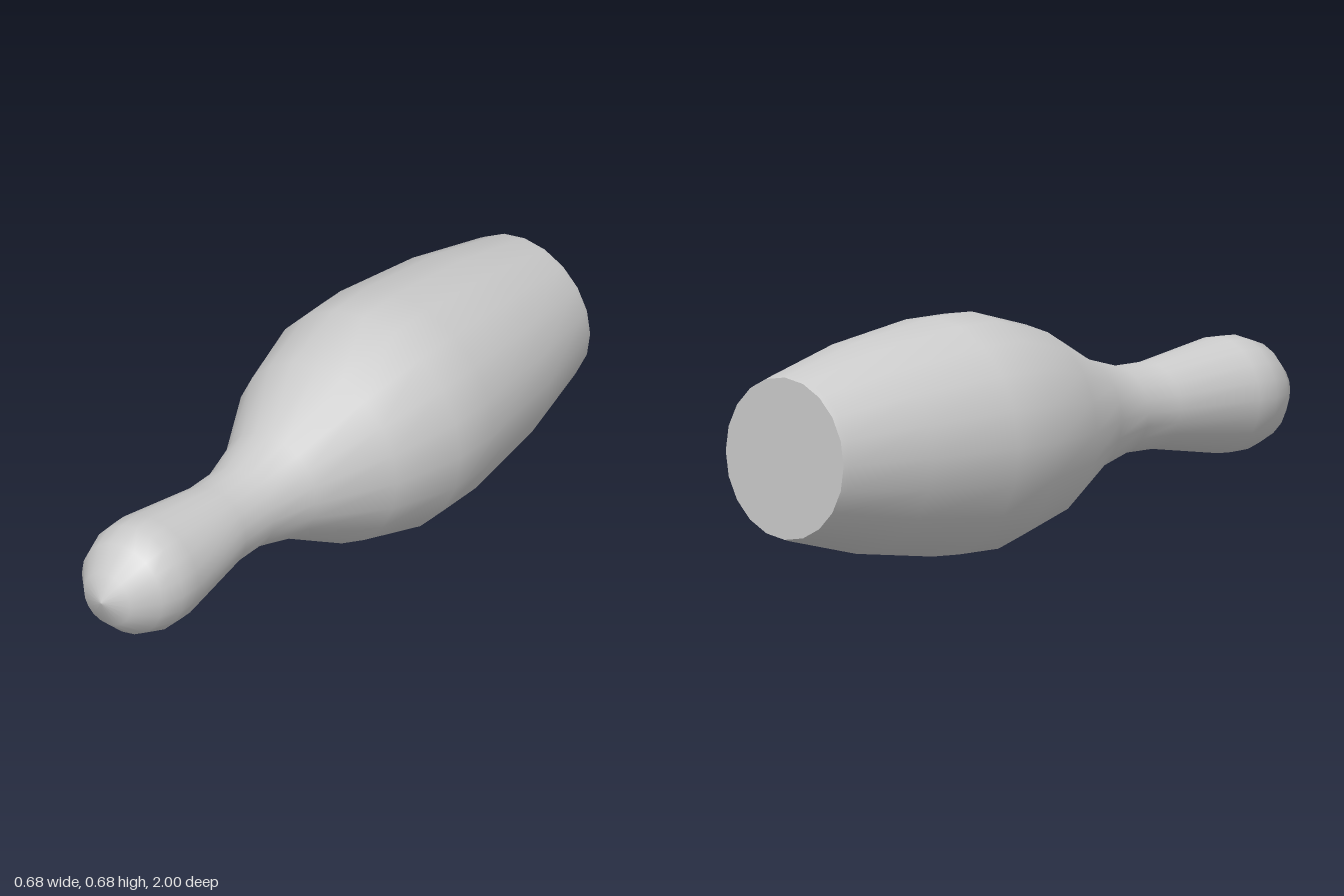
import * as THREE from 'three';

const SIDES = 20;
const AXIS_HEIGHT = 0.343;

// Radius and position along the long axis, from base rim to rounded tip
const PROFILE = [
  [0.232, -1], [0.238, -0.98], [0.302, -0.71], [0.342, -0.4], [0.342, -0.24],
  [0.282, -0.02], [0.165, 0.2], [0.125, 0.35], [0.125, 0.48], [0.167, 0.76],
  [0.165, 0.83], [0.142, 0.9], [0.082, 0.97], [0, 1],
];

export function createModel() {
  const material = new THREE.MeshStandardMaterial({ color: 0xcccccc });
  const pin = new THREE.Group();
  pin.name = 'bowlingPin';

  // Smooth turned body lying along z, tip to the front
  const points = PROFILE.map(([r, y]) => new THREE.Vector2(r, y));
  const bodyGeometry = new THREE.LatheGeometry(points, SIDES).rotateX(Math.PI / 2);
  const body = new THREE.Mesh(bodyGeometry, material);
  body.name = 'body';

  // Flat base facing backwards
  const baseGeometry = new THREE.CircleGeometry(PROFILE[0][0], SIDES).rotateY(Math.PI);
  const base = new THREE.Mesh(baseGeometry, material);
  base.name = 'base';
  base.position.z = -1;

  pin.add(body, base);
  pin.position.y = AXIS_HEIGHT;

  const model = new THREE.Group();
  model.name = 'model';
  model.add(pin);
  return model;
}
